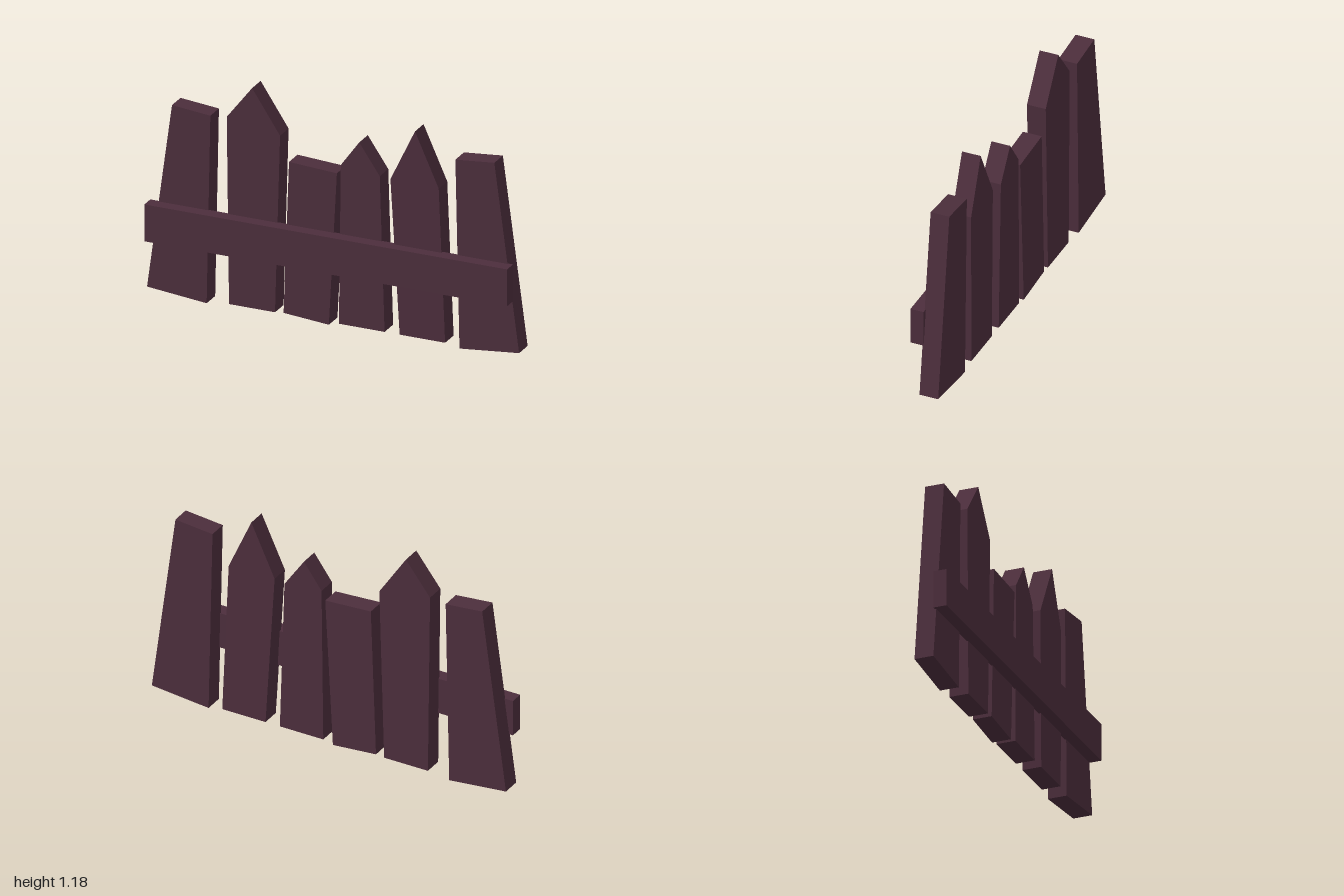
import * as THREE from 'three';

export function createModel() {
  const fence = new THREE.Group();
  fence.name = 'picketFence';
  const wood = new THREE.MeshStandardMaterial({ color: 0x4c2e3c });
  wood.name = 'dark plum wood';

  // A board cut from an outline; lean pushes its top forward
  function board(name, outline, back, depth, lean = 0) {
    const shape = new THREE.Shape(outline.map(([x, y]) => new THREE.Vector2(x, y)));
    const geometry = new THREE.ExtrudeGeometry(shape, { depth, bevelEnabled: false });
    geometry.translate(0, 0, back);
    const p = geometry.attributes.position;
    for (let i = 0; i < p.count; i++) p.setZ(i, p.getZ(i) + lean * p.getY(i));
    geometry.computeVertexNormals();
    const mesh = new THREE.Mesh(geometry, wood);
    mesh.name = name;
    fence.add(mesh);
  }

  // Uneven pickets, from the model's right to its left
  const pickets = [
    { name: 'rightEndPicket', outline: [[-1, 0.035], [-0.68, 0.003], [-0.66, 1], [-0.866, 1.02]] },
    { name: 'tallPointedPicket', outline: [[-0.56, 0.02], [-0.313, 0.02], [-0.286, 0.96], [-0.436, 1.186], [-0.572, 1.01]] },
    { name: 'shortFlatPicket', outline: [[-0.267, 0.025], [-0.024, 0.005], [0.019, 0.815], [-0.238, 0.83]] },
    { name: 'smallPointedPicket', outline: [[0.03, 0.02], [0.275, 0.02], [0.249, 0.84], [0.139, 1], [0.04, 0.863]] },
    { name: 'slimPointedPicket', outline: [[0.356, 0.02], [0.6, 0.02], [0.572, 0.837], [0.447, 1.12], [0.313, 0.842]], lean: 0.017 },
    { name: 'leftEndPicket', outline: [[0.677, 0.003], [0.997, 0.035], [0.864, 1.02], [0.655, 1]] },
  ];
  for (const { name, outline, lean } of pickets) board(name, outline, -0.082, 0.1, lean);

  // Cross rail on the front
  board('crossRail', [[-0.985, 0.302], [0.962, 0.302], [0.962, 0.497], [-0.985, 0.497]], 0.012, 0.07);

  // The whole fence is turned slightly
  fence.rotation.y = 0.0225;
  const model = new THREE.Group();
  model.name = 'fence';
  model.add(fence);
  return model;
}
